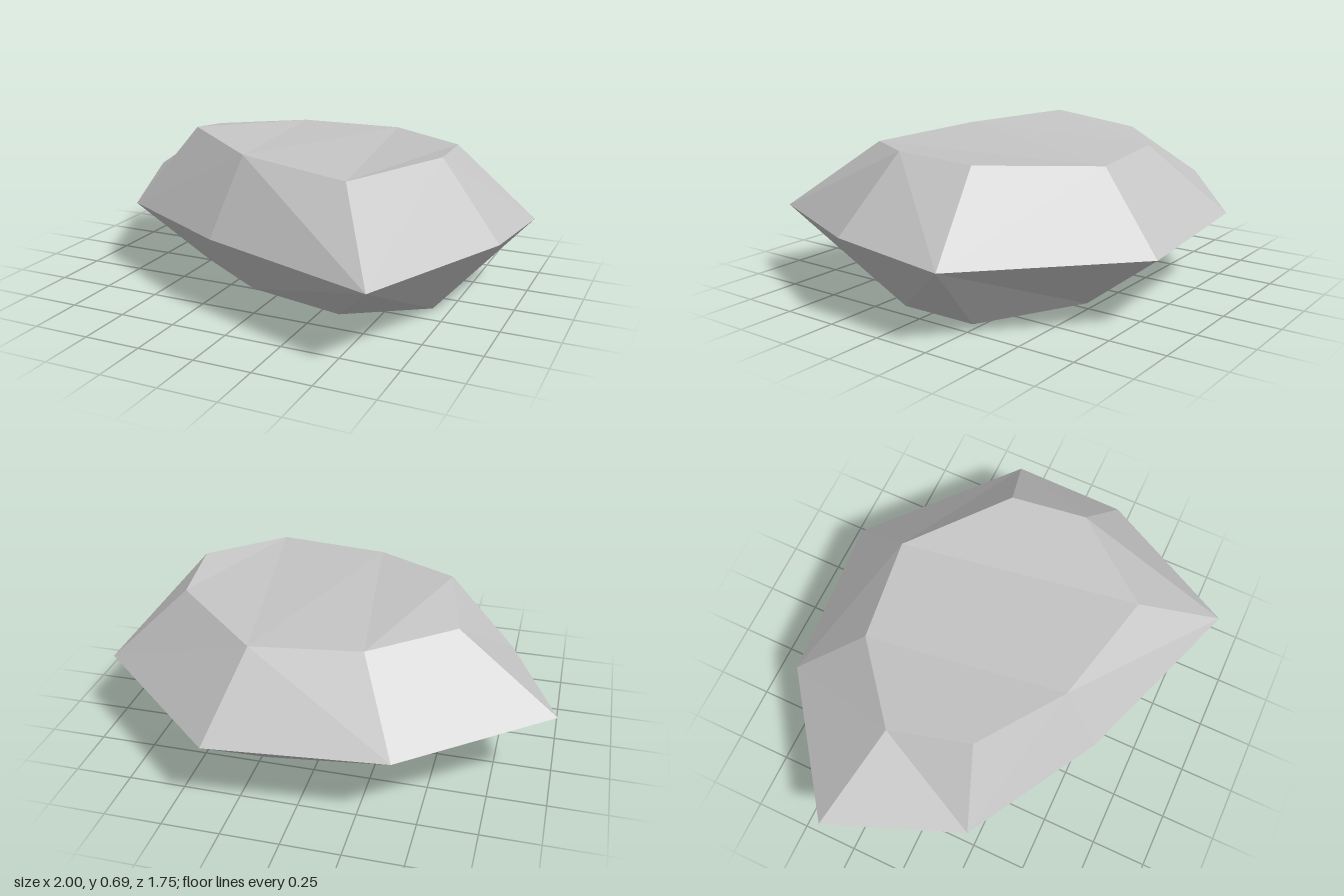
import * as THREE from 'three';

// Three eight-sided rings, counter-clockwise seen from above
const bottomRing = [[0.37, 0.04, 0.445], [0.68, 0.005, 0.14], [0.67, 0, -0.215], [0.22, 0.01, -0.475],
  [-0.2, 0.02, -0.43], [-0.5, 0.005, -0.2], [-0.43, 0.055, 0.13], [-0.08, 0.045, 0.35]];
const middleRing = [[0.65, 0.333, 0.87], [0.97, 0.36, 0.22], [1, 0.323, -0.31], [0.36, 0.31, -0.875],
  [-0.4, 0.325, -0.815], [-1, 0.353, -0.37], [-0.76, 0.322, 0.23], [-0.16, 0.333, 0.58]];
const topRing = [[0.42, 0.633, 0.51], [0.695, 0.675, 0.135], [0.66, 0.652, -0.21], [0.25, 0.622, -0.57],
  [-0.22, 0.63, -0.51], [-0.56, 0.635, -0.235], [-0.475, 0.695, 0.13], [-0.1, 0.66, 0.39]];
const N = 8;

// Strip of triangles across a ring
const capFaces = [[5, 6, 4], [6, 7, 4], [7, 3, 4], [7, 0, 3], [0, 2, 3], [0, 1, 2]];

function makeMesh(name, triangles, material) {
  const geometry = new THREE.BufferGeometry();
  geometry.setAttribute('position', new THREE.Float32BufferAttribute(triangles.flat(2), 3));
  geometry.computeVertexNormals(); // unshared corners give flat facets
  const mesh = new THREE.Mesh(geometry, material);
  mesh.name = name;
  return mesh;
}

// Facets between the wide middle ring and a cap ring, diagonals alternating
function band(mid, cap, up) {
  const triangles = [];
  for (let i = 0; i < N; i++) {
    const j = (i + 1) % N;
    if (i % 2 === 0) triangles.push([mid[i], mid[j], cap[j]], [mid[i], cap[j], cap[i]]);
    else triangles.push([mid[i], mid[j], cap[i]], [mid[j], cap[j], cap[i]]);
  }
  return up ? triangles : triangles.map(t => [t[0], t[2], t[1]]);
}

function capOf(ring, up) {
  return capFaces.map(([a, b, c]) => up ? [ring[a], ring[b], ring[c]] : [ring[a], ring[c], ring[b]]);
}

export function createModel() {
  const stone = new THREE.MeshStandardMaterial({ color: 0xc4c4c4 });
  stone.name = 'light grey stone';

  const rock = new THREE.Group();
  rock.name = 'rock';
  rock.add(
    makeMesh('upperFacets', band(middleRing, topRing, true), stone),
    makeMesh('lowerFacets', band(middleRing, bottomRing, false), stone),
    makeMesh('rockTop', capOf(topRing, true), stone),
    makeMesh('rockBase', capOf(bottomRing, false), stone)
  );
  return rock;
}
